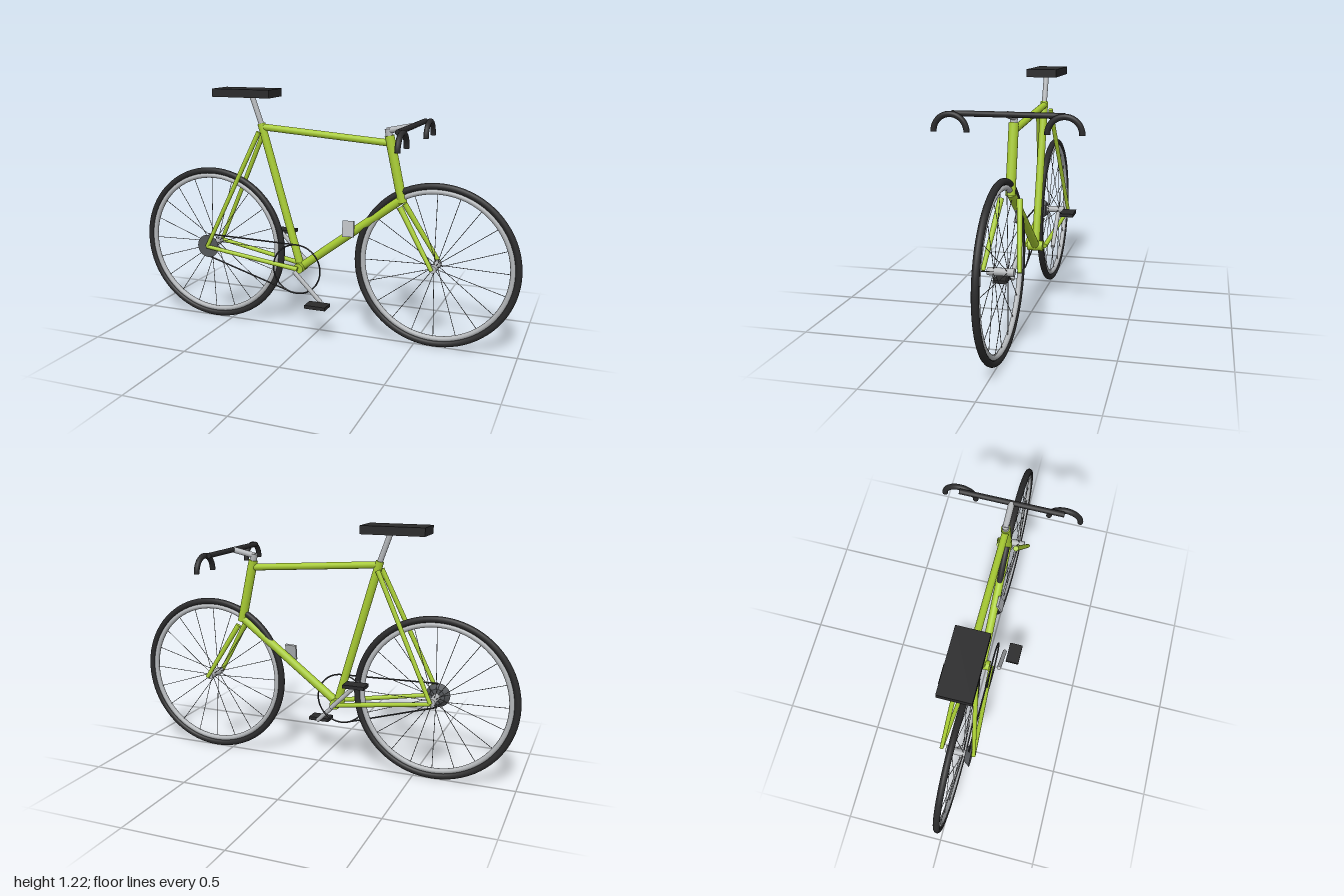
import * as THREE from 'three';

const paint = (name, color) => {
  const m = new THREE.MeshStandardMaterial({ color });
  m.name = name;
  return m;
};

export function createModel() {
  const green = paint('frame green', 0xa8cc33);
  const black = paint('rubber black', 0x2a2a2b);
  const silver = paint('silver', 0xb4b7ba);
  const steel = paint('dark steel', 0x55585b);
  const spokeGrey = paint('spoke grey', 0x6c6e70);
  const chainGrey = paint('chain grey', 0x333436);

  const bike = new THREE.Group();
  bike.name = 'bicycle';

  const add = (name, geometry, material, pos = [0, 0, 0], parent = bike) => {
    const mesh = new THREE.Mesh(geometry, material);
    mesh.name = name;
    mesh.position.set(...pos);
    parent.add(mesh);
    return mesh;
  };

  // Straight round tube from a (radius ra) to b (radius rb)
  const up = new THREE.Vector3(0, 1, 0);
  const tube = (name, a, b, ra, material, rb = ra, parent = bike, sides = 16) => {
    const A = new THREE.Vector3(...a), B = new THREE.Vector3(...b);
    const dir = B.clone().sub(A);
    const mesh = add(name, new THREE.CylinderGeometry(rb, ra, dir.length(), sides), material,
      A.clone().add(B).multiplyScalar(0.5).toArray(), parent);
    mesh.quaternion.setFromUnitVectors(up, dir.normalize());
    return mesh;
  };

  const axleY = 0.405, axleX = 0.595;

  // Wheels: tyre, rim, hub and spokes laced to alternate hub sides
  const wheel = (name, x) => {
    const g = new THREE.Group();
    g.name = name;
    g.position.set(x, axleY, 0);
    bike.add(g);
    add('tyre', new THREE.TorusGeometry(0.389, 0.016, 14, 80), black, [0, 0, 0], g);
    add('rim', new THREE.TorusGeometry(0.363, 0.013, 12, 80), silver, [0, 0, 0], g);
    tube('hub', [0, 0, -0.06], [0, 0, 0.06], 0.018, silver, 0.018, g);
    for (let i = 0; i < 20; i++) {
      const a = (i / 20) * Math.PI * 2, c = Math.cos(a), s = Math.sin(a);
      const z = i % 2 ? 0.03 : -0.03;
      tube('spoke', [c * 0.016, s * 0.016, z], [c * 0.355, s * 0.355, 0], 0.0016, spokeGrey, 0.0016, g, 5);
    }
  };
  wheel('rearWheel', -axleX);
  wheel('frontWheel', axleX);

  // Main frame
  const bb = [-0.1, 0.327, 0];
  tube('seatTube', bb, [-0.31, 1.05, 0], 0.02, green);
  tube('topTube', [-0.305, 1.033, 0], [0.358, 0.985, 0], 0.017, green);
  tube('headTube', [0.355, 1.02, 0], [0.425, 0.703, 0], 0.023, green);
  tube('downTube', [0.415, 0.715, 0], bb, 0.021, green);
  tube('bottomBracket', [-0.1, 0.327, -0.04], [-0.1, 0.327, 0.04], 0.026, green);

  // Paired stays and fork blades
  for (const s of [1, -1]) {
    tube('seatStay', [-0.31, 1.01, s * 0.033], [-axleX, axleY, s * 0.082], 0.012, green, 0.01);
    tube('chainStay', [-0.1, 0.327, s * 0.048], [-axleX, axleY, s * 0.082], 0.012, green, 0.01);
    tube('forkBlade', [0.425, 0.69, s * 0.043], [axleX, axleY, s * 0.082], 0.014, green, 0.01);
  }

  // Saddle and post
  tube('seatPost', [-0.307, 1.04, 0], [-0.363, 1.195, 0], 0.0135, silver);
  add('saddle', new THREE.BoxGeometry(0.31, 0.04, 0.154), black, [-0.387, 1.201, 0]);

  // Stem and drop handlebar
  tube('quill', [0.358, 1.0, 0], [0.348, 1.052, 0], 0.017, silver);
  tube('stem', [0.345, 1.043, 0], [0.465, 1.068, 0], 0.015, silver);
  tube('handlebar', [0.465, 1.068, -0.25], [0.465, 1.068, 0.25], 0.013, black);
  for (const s of [1, -1]) {
    const drop = add('handlebarDrop', new THREE.TorusGeometry(0.075, 0.0135, 12, 28, Math.PI),
      black, [0.487, 0.992, s * 0.253]);
    drop.rotation.y = Math.PI / 2;
    for (const e of [-0.075, 0.075]) {
      const z = s * 0.253 + e;
      tube('barEnd', [0.487, 0.99, z], [0.487, 0.993, z], 0.0135, black);
    }
  }

  // Sprocket cluster, chainring and chain
  tube('sprockets', [-axleX, axleY, 0.042], [-axleX, axleY, 0.072], 0.038, steel, 0.06, bike, 28);
  const chainZ = 0.058;
  add('chainring', new THREE.TorusGeometry(0.127, 0.004, 8, 56), chainGrey, [-0.1, 0.33, chainZ]);
  tube('upperChain', [-axleX, 0.467, chainZ], [-0.1, 0.457, chainZ], 0.004, chainGrey, 0.004, bike, 8);
  tube('lowerChain', [-axleX, 0.346, chainZ], [-0.13, 0.207, chainZ], 0.004, chainGrey, 0.004, bike, 8);

  // Cranks and pedals, half a turn apart
  for (const s of [1, -1]) {
    const end = [-0.1 + s * 0.145, 0.327 - s * 0.145];
    tube('crankArm', [-0.1, 0.327, s * 0.09], [...end, s * 0.09], 0.011, silver);
    add('pedal', new THREE.BoxGeometry(0.108, 0.017, 0.07), black, [end[0], end[1], s * 0.143]);
  }

  // Shift lever plate on the down tube
  const lever = add('shiftLever', new THREE.BoxGeometry(0.058, 0.08, 0.012), silver, [0.164, 0.557, 0.029]);
  lever.rotation.set(-0.25, 0, 0.06);

  return bike;
}
